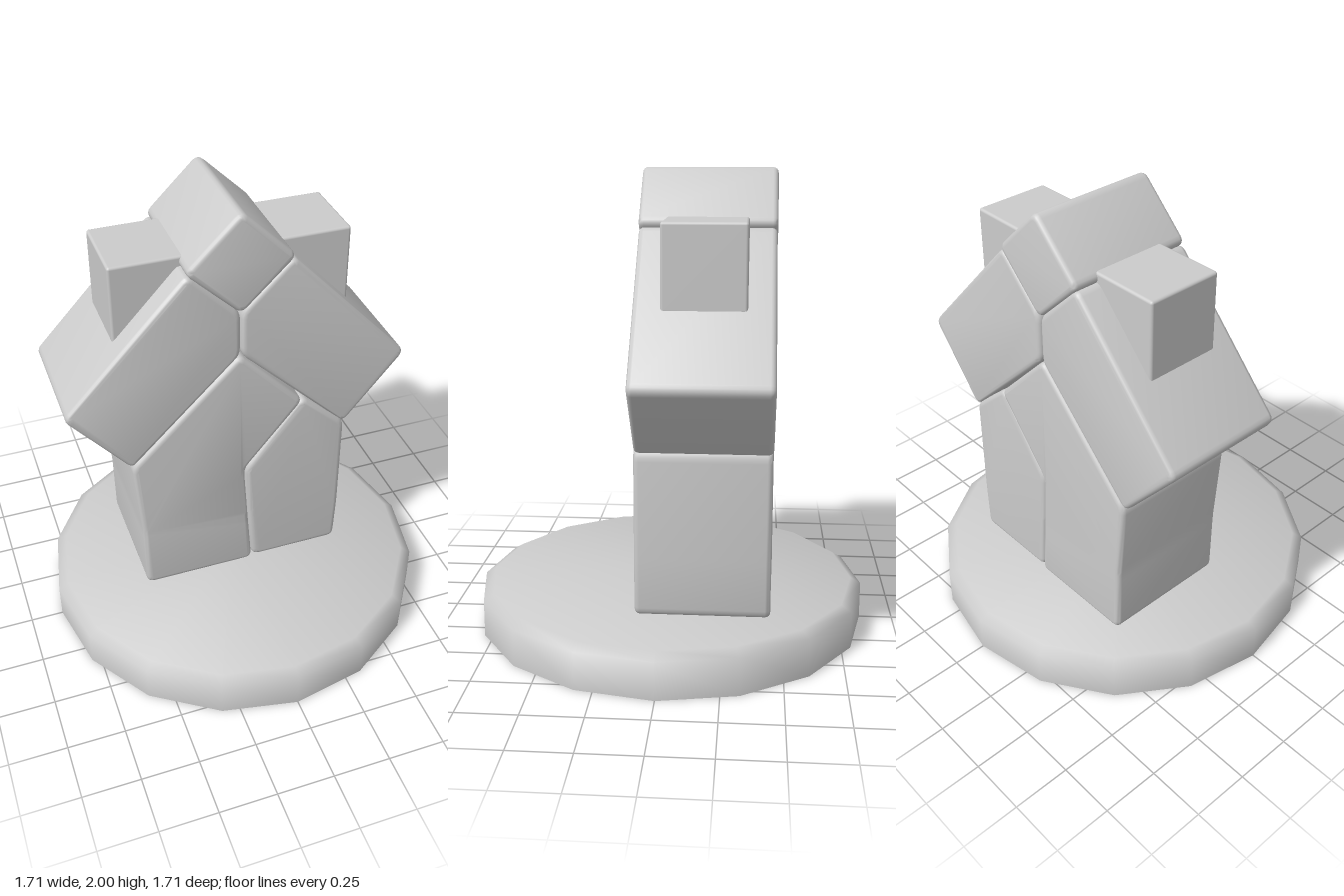
import * as THREE from 'three';
import { toCreasedNormals } from 'three/addons/utils/BufferGeometryUtils.js';
import { RoundedBoxGeometry } from 'three/addons/geometries/RoundedBoxGeometry.js';

const material = new THREE.MeshStandardMaterial({ color: 0xcccccc });
const shellMaterial = new THREE.MeshStandardMaterial({ color: 0xcccccc, side: THREE.DoubleSide });

// Closed outline with each corner eased by a short curve
function roundedShape(points, radius) {
  const shape = new THREE.Shape();
  const p = points.map(([x, y]) => new THREE.Vector2(x, y));
  p.forEach((corner, i) => {
    const prev = p[(i + p.length - 1) % p.length];
    const next = p[(i + 1) % p.length];
    const a = corner.clone().add(prev.clone().sub(corner).setLength(radius));
    const b = corner.clone().add(next.clone().sub(corner).setLength(radius));
    if (i === 0) shape.moveTo(a.x, a.y);
    else shape.lineTo(a.x, a.y);
    shape.quadraticCurveTo(corner.x, corner.y, b.x, b.y);
  });
  shape.closePath();
  return shape;
}

// Soft-edged stone slab running from zBack to zFront
function stone(name, points, zBack, zFront) {
  const bevel = 0.022;
  const geometry = new THREE.ExtrudeGeometry(roundedShape(points, 0.036), {
    depth: zFront - zBack - 2 * bevel,
    bevelThickness: bevel,
    bevelSize: bevel,
    bevelOffset: -bevel,
    bevelSegments: 4,
    curveSegments: 4,
  });
  geometry.translate(0, 0, zBack + bevel);
  const mesh = new THREE.Mesh(toCreasedNormals(geometry, 0.8), material);
  mesh.name = name;
  return mesh;
}

export function createModel() {
  const model = new THREE.Group();
  model.name = 'stackedStones';

  // Sixteen-sided hollow plinth with a chamfered rim, open underneath
  const profile = [[0.855, 0], [0.855, 0.16], [0.81, 0.187], [0, 0.187]];
  const plinth = new THREE.Mesh(
    toCreasedNormals(new THREE.LatheGeometry(profile.map(([x, y]) => new THREE.Vector2(x, y)), 16), 1.1),
    shellMaterial
  );
  plinth.name = 'plinth';
  model.add(plinth);

  // Two standing stones whose feet just reach through the plinth top
  model.add(stone('largeStandingStone', [
    [-0.46, 0.182], [0.055, 0.182], [0.035, 0.45], [0.015, 0.74], [0.285, 1.06],
    [-0.01, 1.36], [-0.495, 0.888], [-0.465, 0.5],
  ], -0.455, 0.128));
  model.add(stone('smallStandingStone', [
    [0.06, 0.182], [0.48, 0.182], [0.49, 0.4], [0.492, 0.885], [0.285, 1.065], [0.022, 0.73], [0.04, 0.45],
  ], -0.445, 0.118));

  // Mirrored leaning stones, each with a block set into its back slope
  for (const side of [-1, 1]) {
    const label = side > 0 ? 'left' : 'right';
    const outline = [[0.765, 1.2], [0.49, 0.875], [0.002, 1.35], [0.002, 1.56], [0.222, 1.775]];
    model.add(stone(label + 'LeaningStone', outline.map(([x, y]) => [side * x, y]), -0.447, 0.115));

    const block = new THREE.Mesh(new RoundedBoxGeometry(0.32, 0.35, 0.34, 2, 0.012), material);
    block.name = label + 'Block';
    block.position.set(side * 0.355, 1.63, -0.165);
    model.add(block);
  }

  // Diamond capstone
  model.add(stone('capstone', [[0, 2.01], [-0.237, 1.78], [0, 1.553], [0.237, 1.78]], -0.45, 0.118));

  return model;
}
